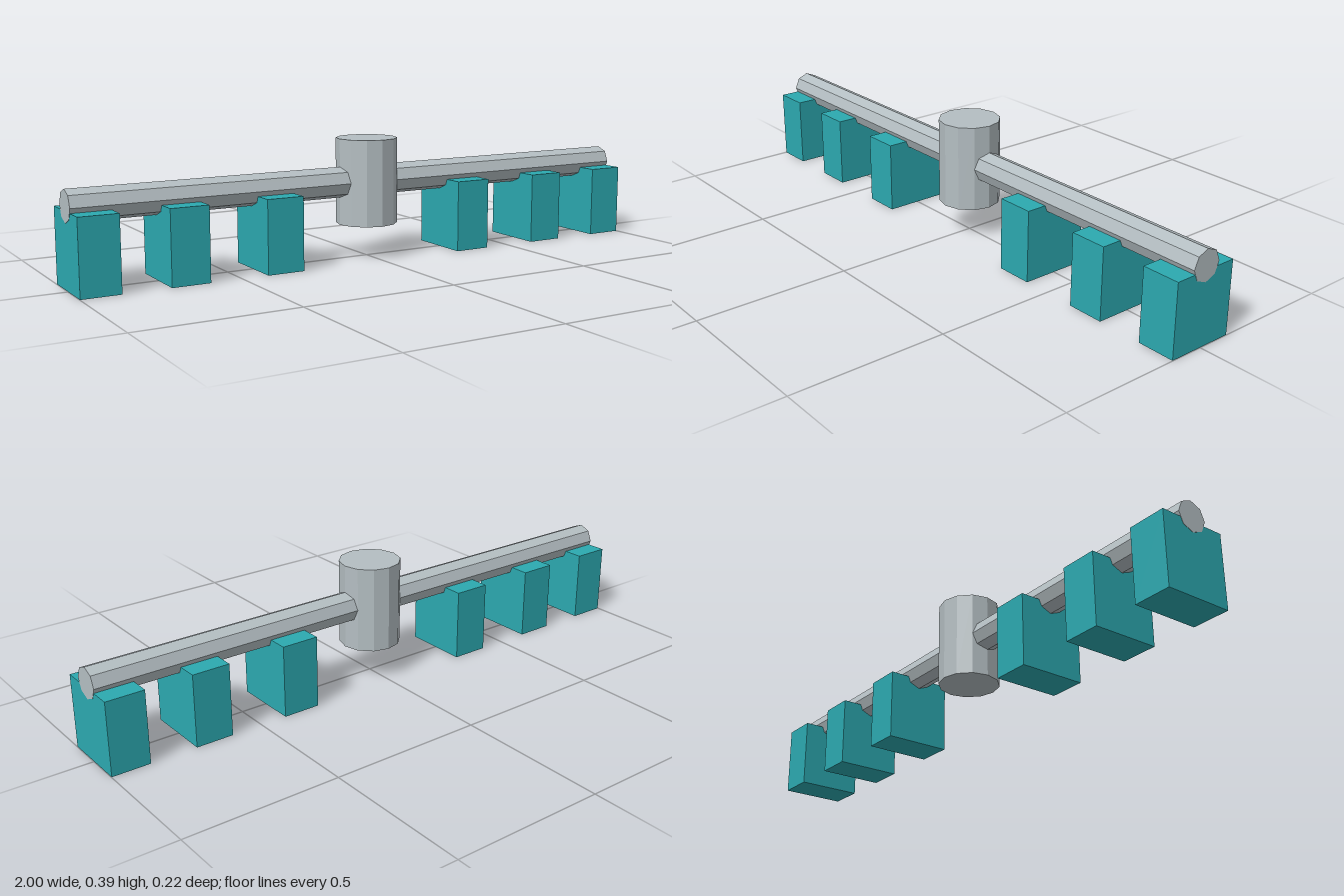
import * as THREE from 'three';

export function createModel() {
  const group = new THREE.Group();
  const steel = new THREE.MeshStandardMaterial({ color: 0xb4bec2, flatShading: true });
  steel.name = 'steel grey';
  const teal = new THREE.MeshStandardMaterial({ color: 0x2ca9b0, flatShading: true });
  teal.name = 'teal';

  const add = (name, geometry, material, x, y) => {
    const mesh = new THREE.Mesh(geometry, material);
    mesh.name = name;
    mesh.position.set(x, y, 0);
    group.add(mesh);
    return mesh;
  };

  // Upright hub in the middle
  add('hub', new THREE.CylinderGeometry(0.1, 0.1, 0.28, 12), steel, 0, 0.25);

  // Long bar through the hub, its ends a hair proud of the outer blocks
  const bar = add('bar', new THREE.CylinderGeometry(0.05, 0.05, 2, 8), steel, 0, 0.25);
  bar.rotation.z = Math.PI / 2;

  // Three blocks hanging from each half of the bar
  const width = 0.123, height = 0.235, depth = 0.22;
  const blockGeometry = new THREE.BoxGeometry(width, height, depth);
  for (const side of [-1, 1]) {
    const sideName = side > 0 ? 'left' : 'right';
    [['Inner', 0.352], ['Middle', 0.664], ['Outer', 0.9375]].forEach(([place, x]) => {
      add(`${sideName}${place}Block`, blockGeometry, teal, side * x, height / 2);
    });
  }

  return group;
}
